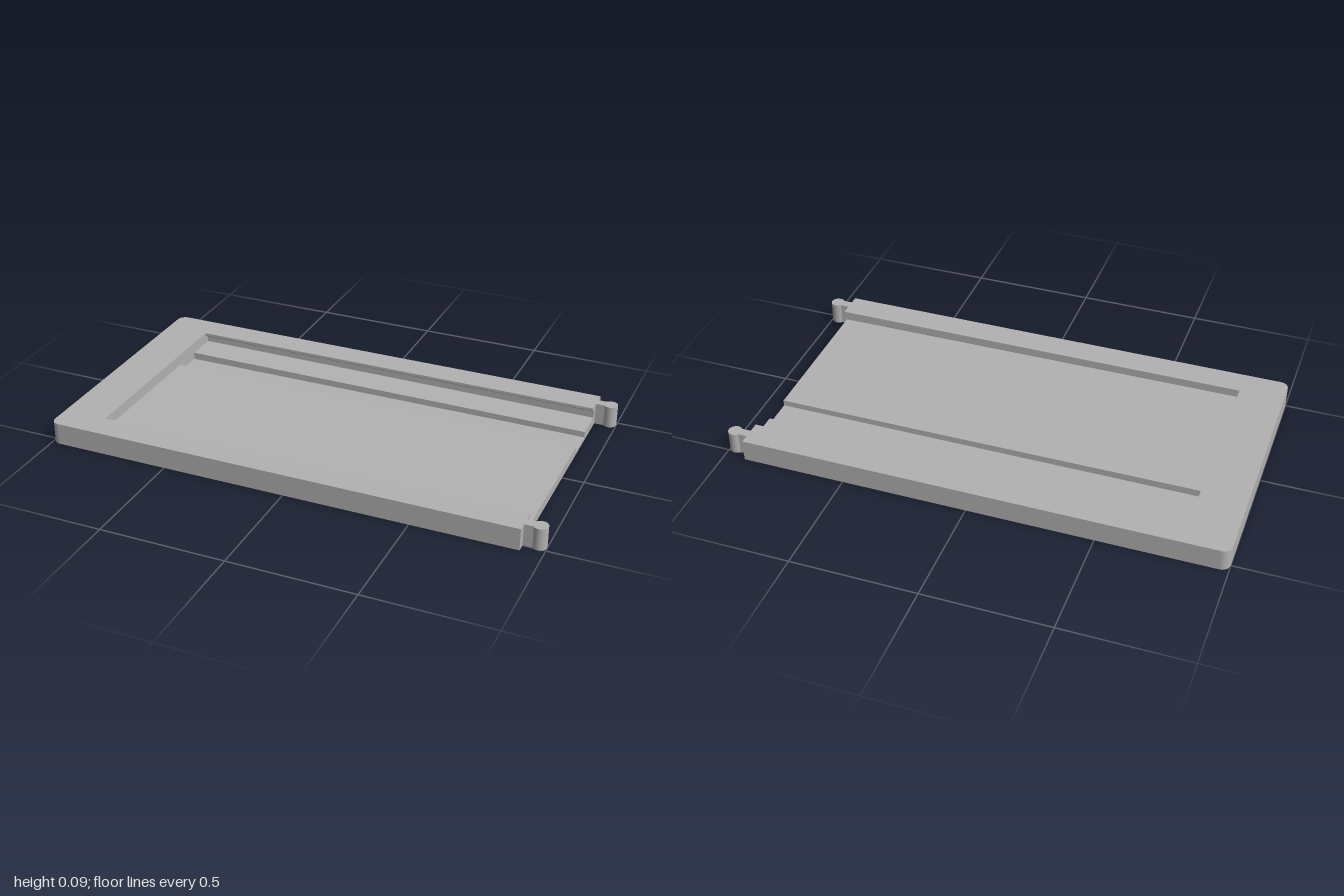
import * as THREE from 'three';

const H = 0.088;        // tray thickness
const W = 0.533;        // half width
const WALL_X = -0.82;   // inner face of the closed end
const OPEN_X = 0.915;   // open end
const FLOOR = 0.04;

export function createModel() {
  const grey = new THREE.MeshStandardMaterial({ color: 0xb2b2b2 });
  grey.name = 'grey';
  const group = new THREE.Group();
  group.name = 'slidingTray';
  const add = (name, geometry, x = 0, y = 0, z = 0) => {
    const mesh = new THREE.Mesh(geometry, grey);
    mesh.name = name;
    mesh.position.set(x, y, z);
    group.add(mesh);
  };

  // Closed end with two rounded corners, drawn in plan and extruded upwards
  const r = 0.035;
  const plan = new THREE.Shape();
  plan.moveTo(WALL_X, -W);
  plan.lineTo(WALL_X, W);
  plan.lineTo(-1 + r, W);
  plan.absarc(-1 + r, W - r, r, Math.PI / 2, Math.PI, false);
  plan.lineTo(-1, -W + r);
  plan.absarc(-1 + r, -W + r, r, Math.PI, Math.PI * 1.5, false);
  plan.closePath();
  const end = new THREE.ExtrudeGeometry(plan, { depth: H, bevelEnabled: false, curveSegments: 12 });
  end.rotateX(-Math.PI / 2);
  add('closedEnd', end);

  // Long section: undercut side rails, floor and sunken channel (u = -z)
  const profile = new THREE.Shape([
    [-W, 0], [W, 0], [W, H], [0.42, H], [0.42, 0.077], [0.437, 0.066], [0.437, FLOOR],
    [0.31, FLOOR], [0.31, 0.014], [0.185, 0.014], [0.185, FLOOR],
    [-0.437, FLOOR], [-0.437, 0.066], [-0.42, 0.077], [-0.42, H], [-W, H],
  ].map(([u, y]) => new THREE.Vector2(u, y)));
  const length = OPEN_X - WALL_X;
  const rails = new THREE.ExtrudeGeometry(profile, { depth: length, bevelEnabled: false });
  rails.rotateY(Math.PI / 2);
  // The floor falls slightly towards the open end
  const p = rails.attributes.position;
  for (let i = 0; i < p.count; i++) {
    if (Math.abs(p.getY(i) - FLOOR) < 1e-4) p.setY(i, 0.043 - 0.005 * p.getX(i) / length);
  }
  rails.computeVertexNormals();
  add('railsAndFloor', rails, WALL_X);

  // Connector pegs on the open end
  for (const side of [-1, 1]) {
    const name = side > 0 ? 'front' : 'back';
    add(name + 'PegNeck', new THREE.BoxGeometry(0.05, H, 0.036), OPEN_X + 0.025, H / 2, side * 0.48);
    add(name + 'PegKnob', new THREE.CylinderGeometry(0.028, 0.028, H, 32), 0.972, H / 2, side * 0.48);
  }
  return group;
}
